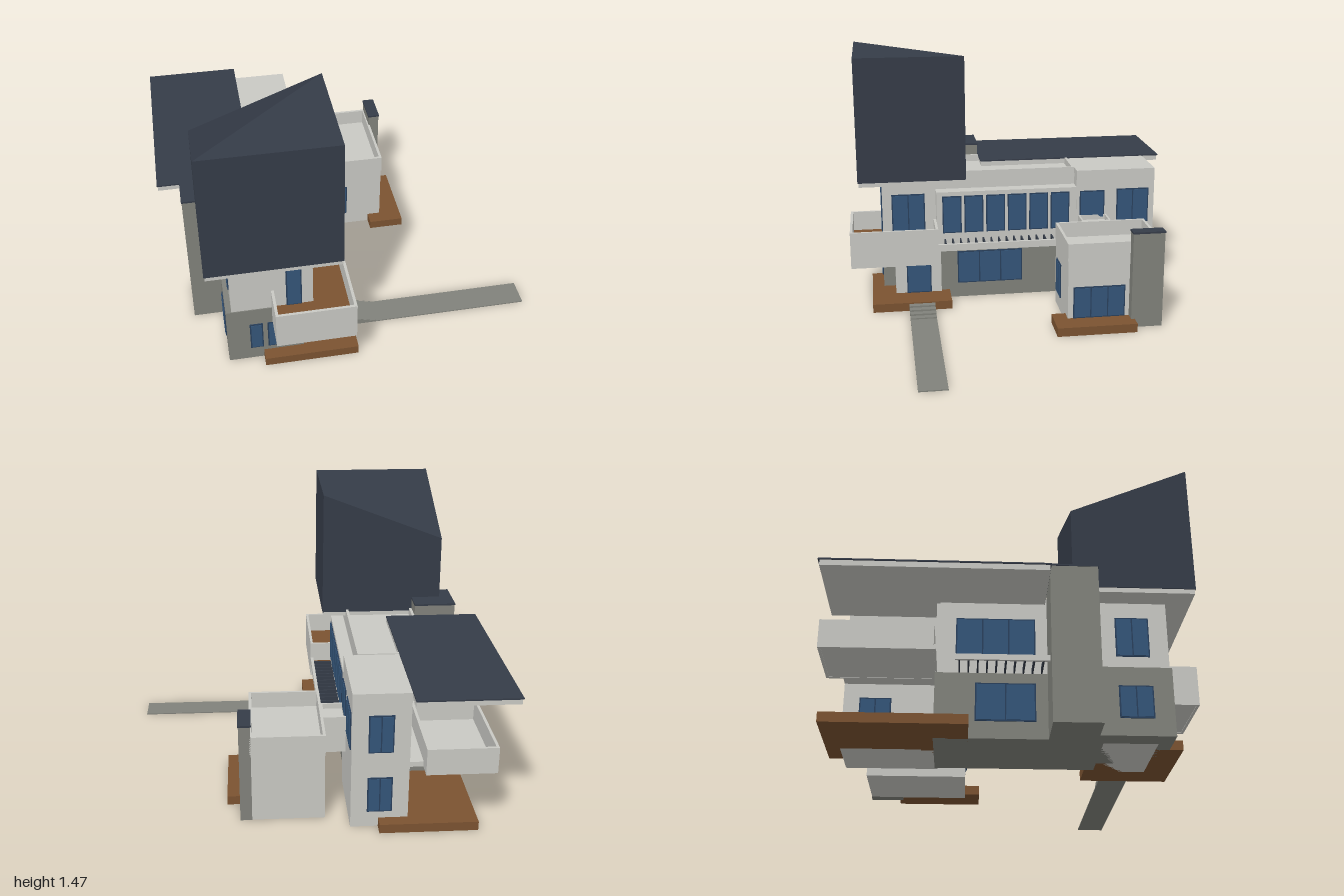
import * as THREE from 'three';

const mat = (name, color, extra = {}) => {
  const m = new THREE.MeshStandardMaterial({ color, ...extra });
  m.name = name;
  return m;
};

export function createModel() {
  const house = new THREE.Group();
  house.name = 'house';
  const wall = mat('lightWall', 0xc9c9c4);
  const stone = mat('greyStone', 0x81827b);
  const roof = mat('darkRoof', 0x353c48);
  const wood = mat('brownDeck', 0x7b5331);
  const frame = mat('windowFrame', 0x29405c);
  const glass = mat('blueGlass', 0x345579);

  // Box given by its minimum and maximum on each axis
  const box = (name, m, x0, x1, y0, y1, z0, z1, parent = house) => {
    const mesh = new THREE.Mesh(new THREE.BoxGeometry(x1 - x0, y1 - y0, z1 - z0), m);
    mesh.position.set((x0 + x1) / 2, (y0 + y1) / 2, (z0 + z1) / 2);
    mesh.name = name;
    parent.add(mesh);
    return mesh;
  };

  // Ring of thin parapet walls around a rectangle
  const parapet = (name, x0, x1, y0, y1, z0, z1, t = 0.015) => {
    const s = new THREE.Shape();
    s.moveTo(x0, -z0).lineTo(x0, -z1).lineTo(x1, -z1).lineTo(x1, -z0).closePath();
    const h = new THREE.Path();
    h.moveTo(x0 + t, -z0 - t).lineTo(x1 - t, -z0 - t).lineTo(x1 - t, -z1 + t).lineTo(x0 + t, -z1 + t).closePath();
    s.holes.push(h);
    const mesh = new THREE.Mesh(new THREE.ExtrudeGeometry(s, { depth: y1 - y0, bevelEnabled: false }), wall);
    mesh.rotation.x = -Math.PI / 2;
    mesh.position.y = y0;
    mesh.name = name;
    house.add(mesh);
  };

  // Window: frame plate with glass panes; a..b runs along the wall
  const turns = { '+z': 0, '+x': Math.PI / 2, '-z': Math.PI, '-x': -Math.PI / 2 };
  const win = (name, side, at, a, b, y0, y1, panes = 1) => {
    const g = new THREE.Group();
    g.name = name;
    const w = b - a, h = y1 - y0, r = 0.007;
    box('frame', frame, -w / 2, w / 2, -h / 2, h / 2, -0.003, 0.005, g);
    const pw = (w - r * (panes + 1)) / panes;
    for (let i = 0; i < panes; i++) {
      const x = -w / 2 + r + i * (pw + r);
      box('glass', glass, x, x + pw, -h / 2 + r, h / 2 - r, 0, 0.008, g);
    }
    const mid = (a + b) / 2, y = (y0 + y1) / 2;
    if (side[1] === 'z') g.position.set(mid, y, at);
    else g.position.set(at, y, mid);
    g.rotation.y = turns[side];
    house.add(g);
  };

  // Ground floor masses
  box('frontStoneBase', stone, -0.71, -0.3, 0, 0.36, 0.3, 0.77);
  box('entranceBlock', wall, -0.6, -0.17, 0, 0.345, 0.43, 0.7);
  box('middleStoneBase', stone, -0.64, -0.19, 0, 0.345, -0.4, 0.43);
  box('rearBlock', wall, -0.47, -0.17, 0, 0.765, -0.86, -0.385);

  // Upper floor, window bay and recessed roof
  box('upperFloor', wall, -0.64, -0.245, 0.345, 0.73, -0.4, 0.3);
  box('upperFrontRoom', wall, -0.68, -0.245, 0.36, 0.73, 0.3, 0.765);
  parapet('upperParapet', -0.64, -0.245, 0.73, 0.77, -0.384, 0.3);
  box('windowBay', wall, -0.3, -0.17, 0.345, 0.665, -0.384, 0.45);

  // Chimney towers
  box('leftTower', stone, -0.875, -0.64, 0, 0.83, 0.16, 0.4);
  box('leftTowerCap', roof, -0.878, -0.638, 0.83, 0.84, 0.157, 0.403);
  box('rightTower', stone, 0.338, 0.4, 0, 0.55, -0.768, -0.59);
  box('rightTowerCap', roof, 0.334, 0.403, 0.55, 0.56, -0.771, -0.587);

  // Tall front roof: a block whose rear left corner dips
  box('frontRoofSlab', wall, -0.8, -0.11, 0.73, 0.755, 0.285, 0.895);
  const geo = new THREE.BoxGeometry(0.7, 0.715, 0.62);
  const p = geo.attributes.position;
  for (let i = 0; i < p.count; i++) {
    if (p.getY(i) > 0) {
      p.setX(i, p.getX(i) * 0.99);
      if (p.getX(i) < 0 && p.getZ(i) < 0) p.setY(i, 0.09);
    }
  }
  // Split the top along the ridge joining the two other corners
  const idx = geo.index.array;
  const top = [8, 9, 10, 11]; // rear left, rear right, front left, front right
  [top[0], top[2], top[1], top[2], top[3], top[1]].forEach((v, i) => { idx[12 + i] = v; });
  const flat = geo.toNonIndexed();
  flat.computeVertexNormals();
  const tall = new THREE.Mesh(flat, roof);
  tall.position.set(-0.455, 1.1125, 0.59);
  tall.name = 'tallFrontRoof';
  house.add(tall);

  // Flat rear roof
  box('rearRoofSlab', wall, -0.995, -0.472, 0.735, 0.764, -0.955, 0.152);
  box('rearRoofCover', roof, -1, -0.47, 0.764, 0.772, -0.963, 0.157);

  // Front balcony with timber floor
  parapet('frontBalconyParapet', -0.467, -0.045, 0.265, 0.48, 0.45, 0.955);
  box('frontBalconySlab', wall, -0.455, -0.055, 0.268, 0.325, 0.46, 0.945);
  box('frontBalconyFloor', wood, -0.453, -0.06, 0.325, 0.365, 0.45, 0.941);

  // Rear balcony
  box('rearBalconySlab', wall, -0.9, -0.46, 0.347, 0.375, -0.86, -0.39);
  box('rearBalconyLedge', wall, -0.9, -0.54, 0.347, 0.375, -0.94, -0.86);
  parapet('rearBalconyParapet', -0.905, -0.54, 0.345, 0.49, -0.945, -0.4);

  // Right wing, with a raised link to the house
  box('rightWing', wall, -0.045, 0.342, 0, 0.4, -0.765, -0.24);
  parapet('rightWingParapet', -0.048, 0.345, 0.39, 0.49, -0.768, -0.237);
  box('link', wall, -0.172, -0.045, 0.28, 0.46, -0.565, -0.4);
  parapet('linkParapet', -0.172, -0.045, 0.45, 0.49, -0.568, -0.397, 0.01);

  // Slatted pergolas on both long sides
  box('pergolaBeam', wall, -0.062, -0.045, 0.345, 0.385, -0.4, 0.45);
  for (let i = 0; i < 18; i++) {
    const z = -0.37 + i * 0.0455;
    box('pergolaSlat', roof, -0.172, -0.06, 0.35, 0.378, z - 0.004, z + 0.004);
  }
  box('leftPergolaBeam', wall, -0.8, -0.785, 0.345, 0.375, -0.3, 0.16);
  for (let i = 0; i < 10; i++) {
    const z = -0.28 + i * 0.0455;
    box('leftPergolaSlat', roof, -0.79, -0.64, 0.345, 0.372, z - 0.004, z + 0.004);
  }

  // Timber decks
  box('frontDeck', wood, -0.52, -0.01, 0, 0.05, 0.38, 0.84);
  box('rightDeck', wood, 0.268, 0.47, 0, 0.05, -0.61, -0.16);
  box('rearDeck', wood, -0.83, -0.315, 0, 0.05, -0.93, -0.23);

  // Steps and path
  for (let i = 0; i < 4; i++) {
    box('step', stone, -0.012, 0.025 + i * 0.036, 0, 0.043 - i * 0.01, 0.48, 0.63);
  }
  box('path', stone, 0.1, 1, 0, 0.006, 0.48, 0.63);

  // Front windows
  win('frontWindow', '+z', 0.77, -0.59, -0.52, 0.08, 0.255);
  win('frontWindow', '+z', 0.77, -0.495, -0.41, 0.08, 0.255);
  win('balconyDoor', '+z', 0.765, -0.388, -0.305, 0.365, 0.665);
  win('wingFrontWindow', '+z', -0.24, 0, 0.13, 0.085, 0.29, 2);

  // Right side windows
  win('upperSideDoor', '+x', -0.245, 0.515, 0.71, 0.365, 0.64, 2);
  win('entranceDoor', '+x', -0.17, 0.49, 0.635, 0.05, 0.25);
  box('entranceLintel', stone, -0.18, -0.155, 0.25, 0.265, 0.485, 0.64);
  win('groundWindow', '+x', -0.19, -0.06, 0.33, 0.09, 0.29, 3);
  for (let i = 0; i < 7; i++) {
    const c = 0.36 - i * 0.129;
    win('bayWindow', '+x', -0.17, i === 6 ? -0.32 : c - 0.056, i === 6 ? -0.23 : c + 0.056, 0.415, 0.64);
  }
  win('rearSideDoor', '+x', -0.17, -0.555, -0.405, 0.47, 0.64);
  win('rearSideWindow', '+x', -0.17, -0.825, -0.63, 0.435, 0.645, 2);
  win('wingSideDoor', '+x', 0.342, -0.565, -0.27, 0.05, 0.235, 3);

  // Rear and left windows
  win('rearUpperWindow', '-z', -0.86, -0.385, -0.255, 0.435, 0.645, 2);
  win('rearLowerWindow', '-z', -0.86, -0.385, -0.255, 0.09, 0.29, 2);
  win('rearDeckDoor', '-x', -0.47, -0.78, -0.62, 0.05, 0.27, 2);
  win('rearBalconyDoor', '-x', -0.47, -0.78, -0.62, 0.375, 0.645, 2);
  win('leftUpperWindow', '-x', -0.64, -0.3, 0.1, 0.42, 0.645, 3);
  win('leftLowerWindow', '-x', -0.64, -0.2, 0.1, 0.09, 0.29, 2);
  win('leftFrontUpperWindow', '-x', -0.68, 0.5, 0.67, 0.43, 0.645, 2);
  win('leftFrontLowerWindow', '-x', -0.71, 0.5, 0.67, 0.09, 0.26, 2);

  return house;
}
